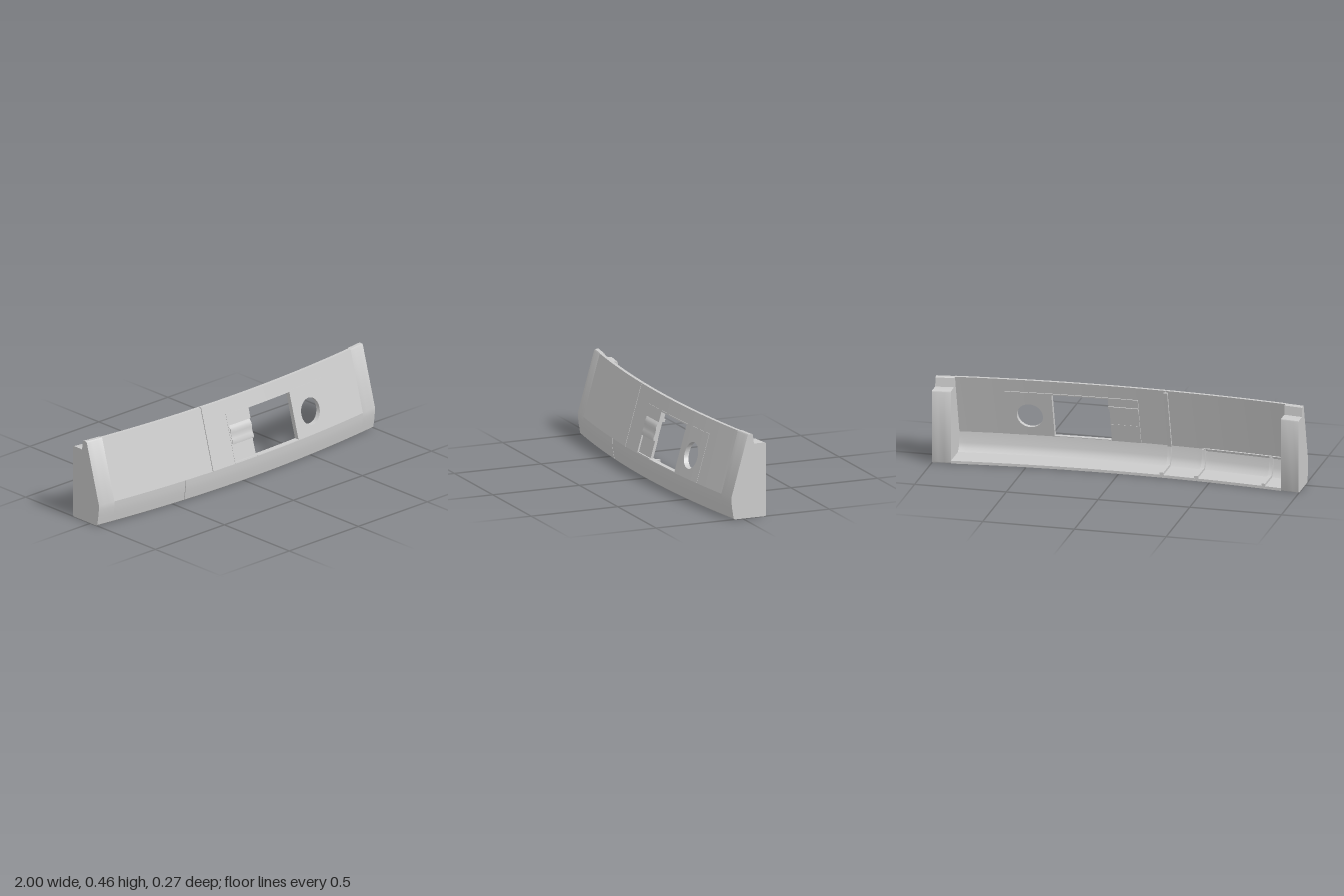
import * as THREE from 'three';
import { toCreasedNormals } from 'three/addons/utils/BufferGeometryUtils.js';

const material = new THREE.MeshStandardMaterial({ color: 0xcccccc });

// The whole panel is bowed forward in the middle
const bow = (x) => 0.07 * (1 - x * x);
// Front surface of the sloping face, before bowing
const slope = (y) => 0.065 - (y - 0.12) * 0.2836;

// Evenly spaced stations along x
function stations(x0, x1) {
  const n = Math.max(1, Math.ceil((x1 - x0) / 0.04));
  return Array.from({ length: n + 1 }, (_, i) => x0 + ((x1 - x0) * i) / n);
}

// Sweep a closed [z, y] outline along the bowed x axis; the outline may vary with x
function sweep(xs, outlineAt) {
  const rings = xs.map((x) => {
    const ring = outlineAt(x).map(([z, y]) => new THREE.Vector2(z, y));
    return ring;
  });
  const mid = rings[Math.floor(rings.length / 2)];
  if (THREE.ShapeUtils.isClockWise(mid)) rings.forEach((r) => r.reverse());
  const n = mid.length;
  const pos = [];
  const idx = [];
  rings.forEach((r, j) => r.forEach((p) => pos.push(xs[j], p.y, p.x + bow(xs[j]))));
  for (let j = 0; j < xs.length - 1; j++) {
    for (let i = 0; i < n; i++) {
      const a = j * n + i;
      const b = j * n + ((i + 1) % n);
      idx.push(a, a + n, b, b, a + n, b + n);
    }
  }
  const last = (xs.length - 1) * n;
  THREE.ShapeUtils.triangulateShape(mid, []).forEach(([a, b, c]) => {
    idx.push(a, b, c, last + a, last + c, last + b);
  });
  const g = new THREE.BufferGeometry();
  g.setAttribute('position', new THREE.Float32BufferAttribute(pos, 3));
  g.setIndex(idx);
  return toCreasedNormals(g, 0.5);
}

// Outline of a slab parallel to the sloping face
function slab(y0, y1, offset, thick) {
  const f = (y) => slope(y) + offset;
  return [[f(y0), y0], [f(y0) - thick, y0], [f(y1) - thick, y1], [f(y1), y1]];
}

// Bottom tray with its bulging front; lift thickens it inwards
const trayOuter = [[-0.135, 0], [0.045, 0], [0.052, 0.006], [0.056, 0.03], [0.061, 0.06], [0.064, 0.09], [0.065, 0.12]];
const trayInner = [[0.047, 0.12], [0.041, 0.06], [0.032, 0.033], [0.015, 0.015], [-0.135, 0.015]];
const tray = () => [...trayOuter, ...trayInner];
const trayRib = () => [
  [-0.134, 0.004], [0.04, 0.004], [0.056, 0.06], [0.06, 0.12],
  [0.034, 0.12], [0.028, 0.07], [0.018, 0.045], [0.003, 0.028], [-0.134, 0.028],
];

const windowBox = { x0: 0.085, x1: 0.39, y0: 0.125, y1: 0.375 };
const latchBox = { x0: -0.07, x1: 0.085, y1: 0.32 };
const hole = { x: 0.515, y: 0.24, r: 0.07 };

// A sloping panel with the latch opening, window and round hole left open
function piercedPanel(name, x0, x1, y0, y1, offset, thick) {
  const group = new THREE.Group();
  group.name = name;
  const add = (xs, lo, hi) => {
    const m = new THREE.Mesh(sweep(xs, (x) => slab(lo(x), hi(x), offset, thick)), material);
    m.name = name + 'Section';
    group.add(m);
  };
  const bottom = () => y0;
  const top = () => y1;
  add(stations(x0, latchBox.x0), bottom, top);
  add(stations(latchBox.x0, latchBox.x1), () => latchBox.y1, top);
  add(stations(windowBox.x0, windowBox.x1), () => windowBox.y1, top);
  add(stations(windowBox.x0, windowBox.x1), bottom, () => windowBox.y0);
  add(stations(windowBox.x1, hole.x - hole.r), bottom, top);
  add(stations(hole.x + hole.r, x1), bottom, top);
  // Above and below the round hole, with stations bunched at its sides
  const round = Array.from({ length: 33 }, (_, i) => hole.x - hole.r * Math.cos((Math.PI * i) / 32));
  const h = (x) => Math.sqrt(Math.max(0, hole.r ** 2 - (x - hole.x) ** 2));
  add(round, bottom, (x) => hole.y - h(x));
  add(round, (x) => hole.y + h(x), top);
  return group;
}

export function createModel() {
  const model = new THREE.Group();
  model.name = 'curvedPanel';
  const add = (name, x0, x1, outline) => {
    const m = new THREE.Mesh(sweep(stations(x0, x1), () => outline), material);
    m.name = name;
    model.add(m);
  };

  // Sloping face in two lengths, with a fine seam between them
  add('rightFacePanel', -0.9, -0.237, slab(0.12, 0.455, 0, 0.018));
  model.add(piercedPanel('mainFacePanel', -0.233, 0.9, 0.12, 0.455, 0, 0.018));

  // Instrument plate, just proud of both sides of the face
  model.add(piercedPanel('instrumentPlate', -0.078, 0.64, 0.122, 0.382, 0.0015, 0.027));

  // Bottom tray in two lengths
  add('rightTray', -0.9, -0.427, tray());
  add('mainTray', -0.423, 0.9, tray());

  // Stiffening ribs behind the seams
  add('faceRib', -0.246, -0.224, slab(0.11, 0.445, -0.008, 0.024));
  for (const x of [-0.235, -0.425, -0.8]) add('trayRib', x - 0.01, x + 0.01, trayRib());
  add('trayLedge', -0.9, -0.425, slab(0.112, 0.124, -0.008, 0.022));

  // Latch: rounded grip above a shallow pocket
  const at = (y, d) => [slope(y) + d, y];
  add('latchGrip', latchBox.x0, latchBox.x1 - 0.004, [
    at(0.22, -0.022), at(0.22, 0.003), at(0.235, 0.007), at(0.25, 0.003), at(0.265, 0.002),
    at(0.28, 0.005), at(0.295, 0.007), at(0.308, 0.003), at(0.32, -0.008), at(0.32, -0.022),
  ]);
  add('latchPocket', latchBox.x0, latchBox.x1 - 0.004, slab(0.12, 0.222, -0.008, 0.016));
  add('latchPocketSill', latchBox.x0, latchBox.x1, slab(0.12, 0.128, 0, 0.018));
  add('latchBackLedge', latchBox.x0 - 0.008, latchBox.x1, slab(0.318, 0.332, -0.02, 0.014));

  // Solid end blocks with a stepped top
  const block = [
    [-0.135, 0.008], [-0.132, 0.002], [-0.127, 0], ...trayOuter.slice(1),
    [slope(0.448), 0.448], [slope(0.448) - 0.006, 0.455],
    [-0.054, 0.455], [-0.059, 0.451], [-0.065, 0.402],
    [-0.127, 0.402], [-0.132, 0.4], [-0.135, 0.394],
  ];
  for (const [name, x0] of [['rightEndBlock', -1], ['leftEndBlock', 0.9]]) add(name, x0, x0 + 0.1, block);

  return model;
}
